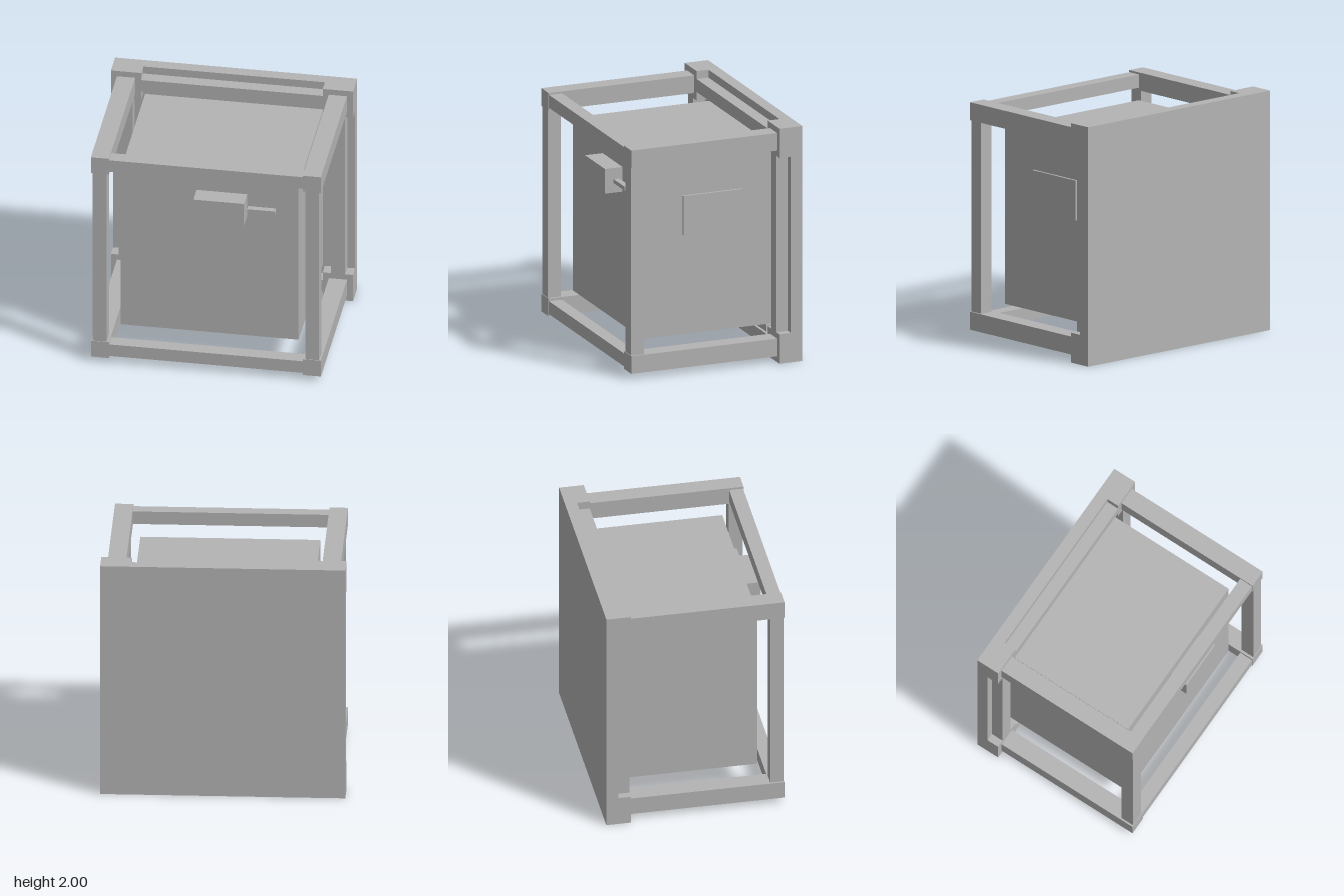
import * as THREE from 'three';

export function createModel() {
  const model = new THREE.Group();
  model.name = 'framedCabinet';
  const grey = new THREE.MeshStandardMaterial({ color: 0xb4b4b4 });
  grey.name = 'plain grey';

  // Adds a box given by its minimum and maximum on each axis
  function box(name, [x0, x1], [y0, y1], [z0, z1]) {
    const mesh = new THREE.Mesh(new THREE.BoxGeometry(x1 - x0, y1 - y0, z1 - z0), grey);
    mesh.position.set((x0 + x1) / 2, (y0 + y1) / 2, (z0 + z1) / 2);
    mesh.name = name;
    model.add(mesh);
  }
  // Mirrors a range to the chosen side of x = 0, or of y = 1
  const sideX = (s, a, b) => (s > 0 ? [a, b] : [-b, -a]);
  const sideY = (s, a, b) => (s > 0 ? [a, b] : [2 - b, 2 - a]);

  const backZ = [-0.745, -0.645];
  const innerZ = [-0.645, -0.54];
  const frontZ = [0.625, 0.74];

  // Back wall and main body
  box('backPanel', [-1, 1], [0, 2], backZ);
  box('cabinetBody', [-0.735, 0.735], [0.265, 1.74], [-0.645, 0.555]);

  for (const s of [1, -1]) {
    const label = s > 0 ? 'left' : 'right';
    // Uprights at front and back
    box(label + 'FrontPost', sideX(s, 0.82, 0.935), [0.2, 1.8], frontZ);
    box(label + 'BackPost', sideX(s, 0.82, 0.935), [0.25, 1.75], innerZ);
    // Small foot and underside hatch
    box(label + 'Foot', sideX(s, 0.86, 0.893), [0.04, 0.05], [0.58, 0.655]);
    box(label + 'Hatch', sideX(s, 0.006, 0.645), [0.245, 0.265], [-0.6, 0.445]);

    for (const t of [1, -1]) {
      const level = t > 0 ? 'Upper' : 'Lower';
      // Thick back corners and the side beams that meet them
      box(label + level + 'BackCorner', sideX(s, 0.75, 1), sideY(t, 1.75, 2), innerZ);
      box(label + level + 'SideBeam', sideX(s, 0.8, 0.95), sideY(t, 1.8, 1.95), [-0.54, 0.745]);
    }
  }

  // Cross bars at front and back
  for (const t of [1, -1]) {
    const level = t > 0 ? 'upper' : 'lower';
    box(level + 'FrontBar', [-0.8, 0.8], sideY(t, 1.823, 1.933), frontZ);
    box(level + 'BackBar', [-0.75, 0.75], sideY(t, 1.823, 1.933), innerZ);
  }
  box('backSupport', [-0.675, 0.675], [0.18, 0.238], [-0.645, -0.56]);

  // Latch box with its rod and lower tab
  box('latchBox', [-0.11, 0.31], [1.4, 1.61], [0.555, 0.71]);
  box('latchRod', [0.325, 0.555], [1.487, 1.52], [0.59, 0.64]);
  box('latchTab', [-0.06, 0.25], [1.39, 1.4], [0.59, 0.68]);

  // Plate on the body's side
  box('sidePlate', [0.735, 0.755], [1.11, 1.445], [-0.32, 0.205]);

  return model;
}
